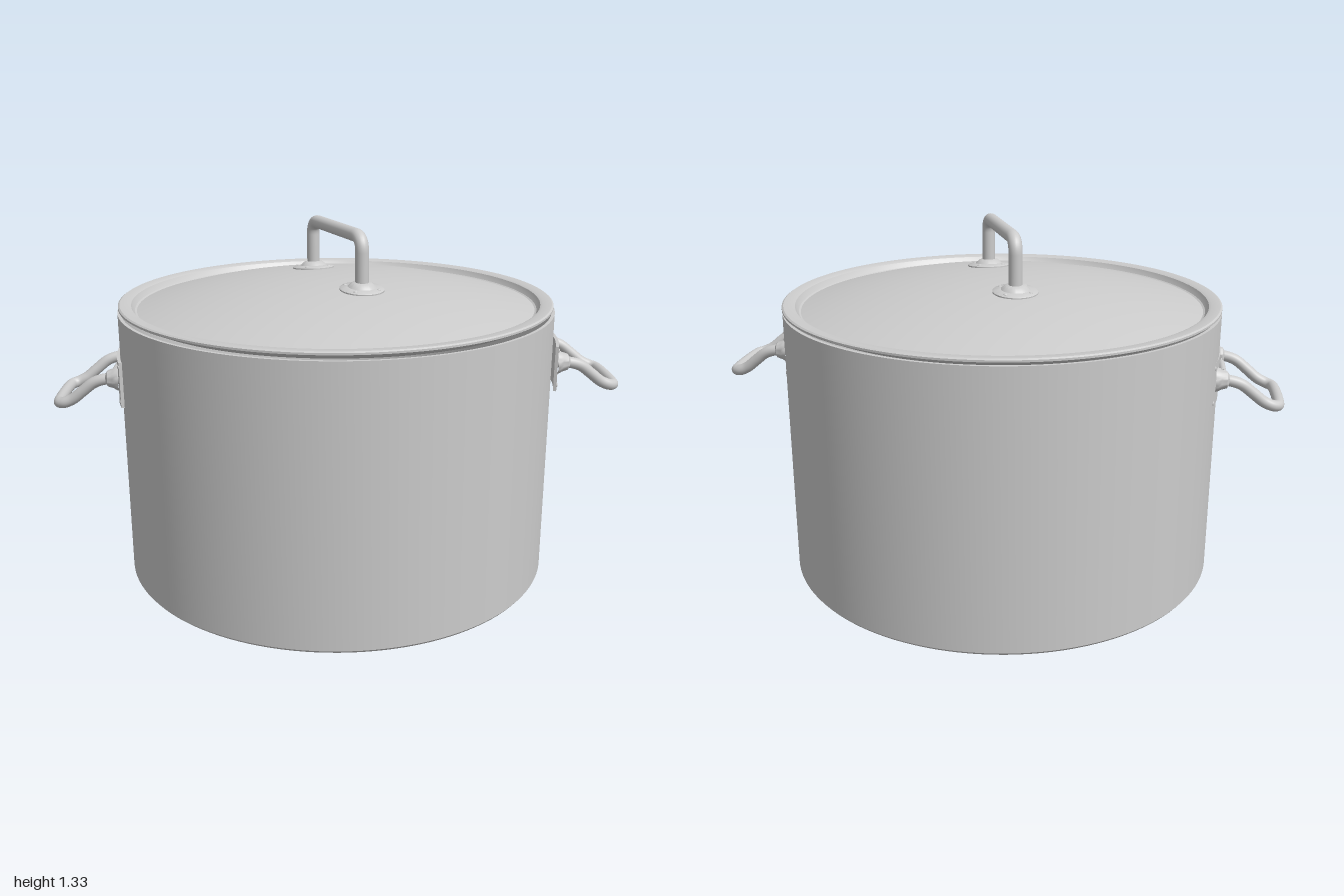
import * as THREE from 'three';
import { toCreasedNormals } from 'three/addons/utils/BufferGeometryUtils.js';

const material = new THREE.MeshStandardMaterial({ color: 0xcccccc });

function addMesh(parent, name, geometry, x = 0, y = 0, z = 0) {
  const mesh = new THREE.Mesh(geometry, material);
  mesh.name = name;
  mesh.position.set(x, y, z);
  parent.add(mesh);
  return mesh;
}

function lathe(points, segments) {
  const profile = points.map(([r, y]) => new THREE.Vector2(r, y));
  return toCreasedNormals(new THREE.LatheGeometry(profile, segments), 0.5);
}

// Height of the lid's dome at radius r
const domeY = (r) => 1.13 - 0.19 * r * r;

function makePot() {
  return lathe([
    [0, 0], [0.805, 0], [0.813, 0.003], [0.82, 0.012], [0.82, 1.025],
    [0.808, 1.025], [0.808, 0.02], [0, 0.02],
  ], 128);
}

function makeLid() {
  const under = [], over = [];
  for (let i = 0; i <= 12; i++) {
    const r = (0.75 * i) / 12;
    under.push([r, domeY(r) - 0.01]);
    over.unshift([r, domeY(r)]);
  }
  return lathe([
    ...under, [0.765, 1.015], [0.78, 1.025], [0.787, 1.035], [0.812, 1.036],
    [0.818, 1.04], [0.818, 1.047], [0.812, 1.051], [0.78, 1.05],
    [0.77, 1.046], [0.764, 1.035], [0.757, 1.026], ...over,
  ], 128);
}

// Upright grip across the lid, standing on two riveted flanges
function makeLidHandle() {
  const group = new THREE.Group();
  group.name = 'lidHandle';
  const half = 0.233, top = 1.308, bend = 0.055;
  const v = (x, y) => new THREE.Vector3(x, y, 0);
  const path = new THREE.CurvePath();
  path.add(new THREE.LineCurve3(v(-half, 1.11), v(-half, top - bend)));
  path.add(new THREE.QuadraticBezierCurve3(v(-half, top - bend), v(-half, top), v(-half + bend, top)));
  path.add(new THREE.LineCurve3(v(-half + bend, top), v(half - bend, top)));
  path.add(new THREE.QuadraticBezierCurve3(v(half - bend, top), v(half, top), v(half, top - bend)));
  path.add(new THREE.LineCurve3(v(half, top - bend), v(half, 1.11)));
  addMesh(group, 'lidGrip', new THREE.TubeGeometry(path, 120, 0.025, 20));

  for (const side of [-1, 1]) {
    const flange = new THREE.Group();
    flange.name = 'lidHandleFlange';
    flange.position.set(side * half, domeY(half), 0);
    flange.rotation.z = -side * 0.09;
    group.add(flange);
    addMesh(flange, 'flangePlate', lathe([
      [0, -0.008], [0.082, -0.008], [0.082, 0.003], [0.078, 0.006],
      [0.052, 0.01], [0.046, 0.016], [0.036, 0.024], [0.02, 0.027],
    ], 40));
    for (let i = 0; i < 4; i++) {
      const a = (i + 0.5) * Math.PI / 2;
      const rivet = addMesh(flange, 'flangeRivet', new THREE.SphereGeometry(0.008, 12, 8),
        Math.cos(a) * 0.065, 0.007, Math.sin(a) * 0.065);
      rivet.scale.y = 0.5;
    }
  }
  return group;
}

// Mounting plate bent round the pot wall
function makePlate(radius) {
  const geometry = new THREE.BoxGeometry(0.012, 0.17, 0.46, 1, 1, 20);
  const p = geometry.attributes.position;
  for (let i = 0; i < p.count; i++) {
    const r = radius + p.getX(i), a = p.getZ(i) / radius;
    p.setXYZ(i, r * Math.cos(a), p.getY(i), r * Math.sin(a));
  }
  geometry.computeVertexNormals();
  return geometry;
}

// Drooping loop handle with its plate; local +x points away from the pot
function makeSideHandle(name) {
  const group = new THREE.Group();
  group.name = name;
  const radius = 0.825;
  addMesh(group, 'mountingPlate', makePlate(radius));

  const arm = [
    [0.81, 0.008, 0.157], [0.86, 0.006, 0.157], [0.905, -0.008, 0.153], [0.95, -0.042, 0.147],
    [0.99, -0.074, 0.141], [1.025, -0.09, 0.135], [1.044, -0.094, 0.12], [1.05, -0.095, 0.09],
  ];
  const mirrored = arm.map(([x, y, z]) => [x, y, -z]).reverse();
  const points = [...arm, ...mirrored].map((p) => new THREE.Vector3(...p));
  const curve = new THREE.CatmullRomCurve3(points, false, 'centripetal');
  addMesh(group, 'loopGrip', new THREE.TubeGeometry(curve, 120, 0.021, 18));

  for (const side of [-1, 1]) {
    // Boss round the root of each arm
    const boss = addMesh(group, 'handleBoss', lathe([
      [0.046, 0], [0.045, 0.008], [0.037, 0.022], [0.031, 0.042], [0.02, 0.05],
    ], 28), 0.81, 0.008, side * 0.157);
    boss.rotation.z = -Math.PI / 2;

    // Corner rivets
    for (const level of [-1, 1]) {
      const a = side * 0.258;
      const rivet = addMesh(group, 'plateRivet', new THREE.SphereGeometry(0.008, 12, 8),
        (radius + 0.006) * Math.cos(a), level * 0.066, (radius + 0.006) * Math.sin(a));
      rivet.rotation.y = -a;
      rivet.scale.x = 0.5;
    }
    // Clip holding the end of the stop rod
    addMesh(group, 'rodClip', new THREE.BoxGeometry(0.022, 0.05, 0.008), 0.833, 0.005, side * 0.09);
  }
  // Stop rod between the bosses
  const thin = addMesh(group, 'stopRodCore', new THREE.CylinderGeometry(0.006, 0.006, 0.26, 12), 0.843, 0.006, 0);
  const rod = addMesh(group, 'stopRod', new THREE.CapsuleGeometry(0.013, 0.12, 6, 16), 0.843, 0.006, 0);
  thin.rotation.x = rod.rotation.x = Math.PI / 2;
  return group;
}

export function createModel() {
  const model = new THREE.Group();
  model.name = 'stockPot';
  addMesh(model, 'potBody', makePot(), -0.02, 0, 0.003);
  addMesh(model, 'lid', makeLid(), -0.027, 0, -0.007);

  const lidHandle = makeLidHandle();
  lidHandle.position.set(-0.025, 0, -0.008);
  lidHandle.rotation.y = -0.686;
  model.add(lidHandle);

  const leftHandle = makeSideHandle('leftHandle');
  leftHandle.position.set(0, 0.825, 0.03);
  leftHandle.rotation.y = Math.PI / 6;
  const rightHandle = makeSideHandle('rightHandle');
  rightHandle.position.set(0, 0.785, 0.03);
  rightHandle.rotation.y = Math.PI / 6 + Math.PI;
  model.add(leftHandle, rightHandle);
  return model;
}
